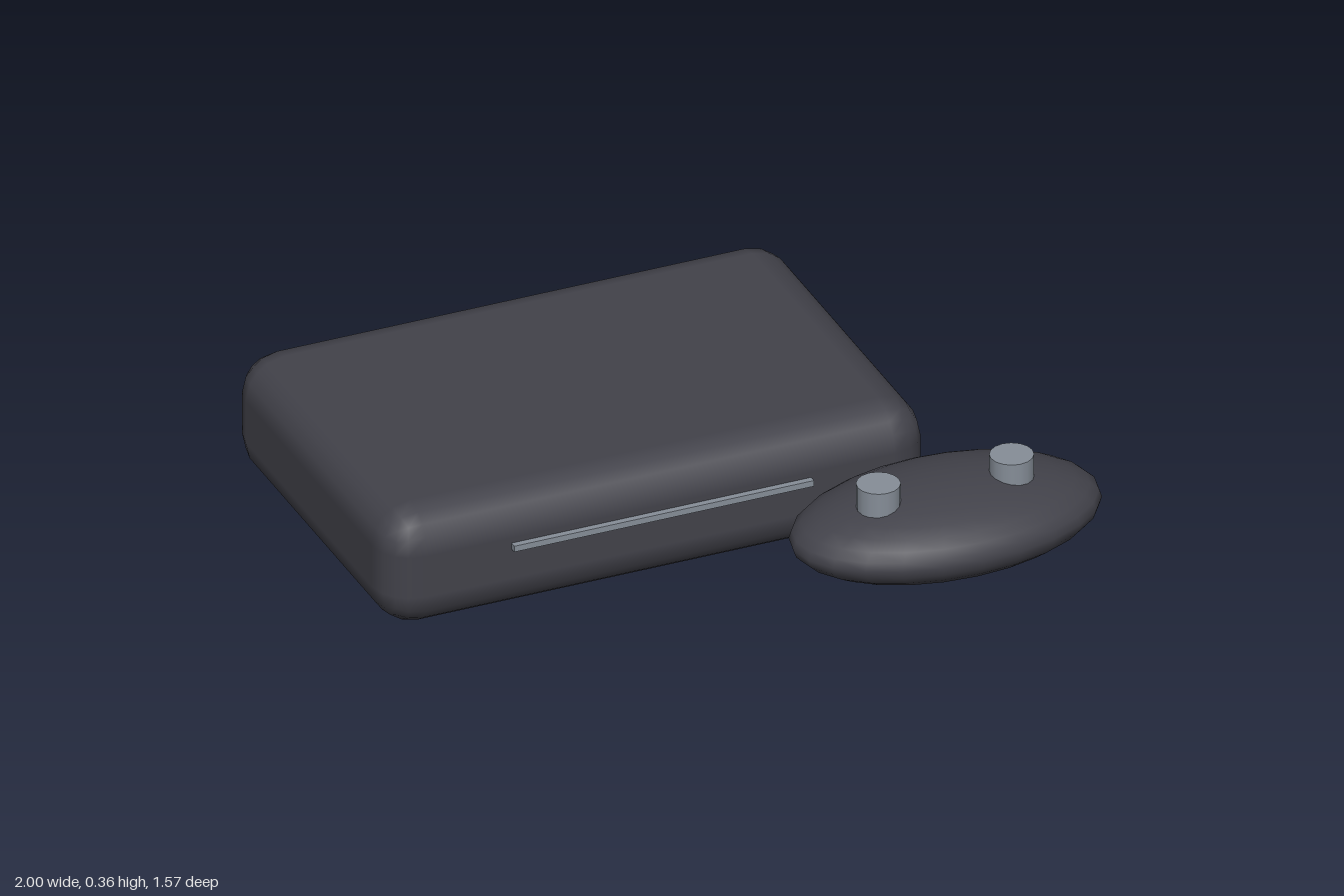
import * as THREE from 'three';
import { RoundedBoxGeometry } from 'three/addons/geometries/RoundedBoxGeometry.js';

export function createModel() {
  const model = new THREE.Group();
  model.name = 'gameConsole';

  const charcoal = new THREE.MeshStandardMaterial({ color: 0x42424a });
  charcoal.name = 'charcoal plastic';
  const grey = new THREE.MeshStandardMaterial({ color: 0x868e98 });
  grey.name = 'grey trim';

  function add(parent, name, geometry, material, x, y, z) {
    const mesh = new THREE.Mesh(geometry, material);
    mesh.name = name;
    mesh.position.set(x, y, z);
    parent.add(mesh);
    return mesh;
  }

  // Console body with soft rounded edges
  add(model, 'consoleBody', new RoundedBoxGeometry(1.615, 0.36, 1.08, 2, 0.117), charcoal, -0.193, 0.18, -0.245);

  // Thin disc slot across the front face
  add(model, 'discSlot', new THREE.BoxGeometry(0.886, 0.018, 0.022), grey, -0.193, 0.219, 0.303);

  // Controller: flattened ellipsoid with two thumbsticks
  const controller = new THREE.Group();
  controller.name = 'controller';
  controller.position.set(0.547, 0.155, 0.522);
  model.add(controller);
  const shell = new THREE.SphereGeometry(1, 24, 16);
  shell.scale(0.449, 0.125, 0.263);
  add(controller, 'controllerShell', shell, charcoal, 0, 0, 0);
  for (const side of [-1, 1]) {
    const stick = new THREE.CylinderGeometry(0.061, 0.061, 0.08, 16);
    add(controller, side < 0 ? 'rightThumbstick' : 'leftThumbstick', stick, grey, -0.014 + side * 0.197, 0.131, 0.03);
  }

  return model;
}
